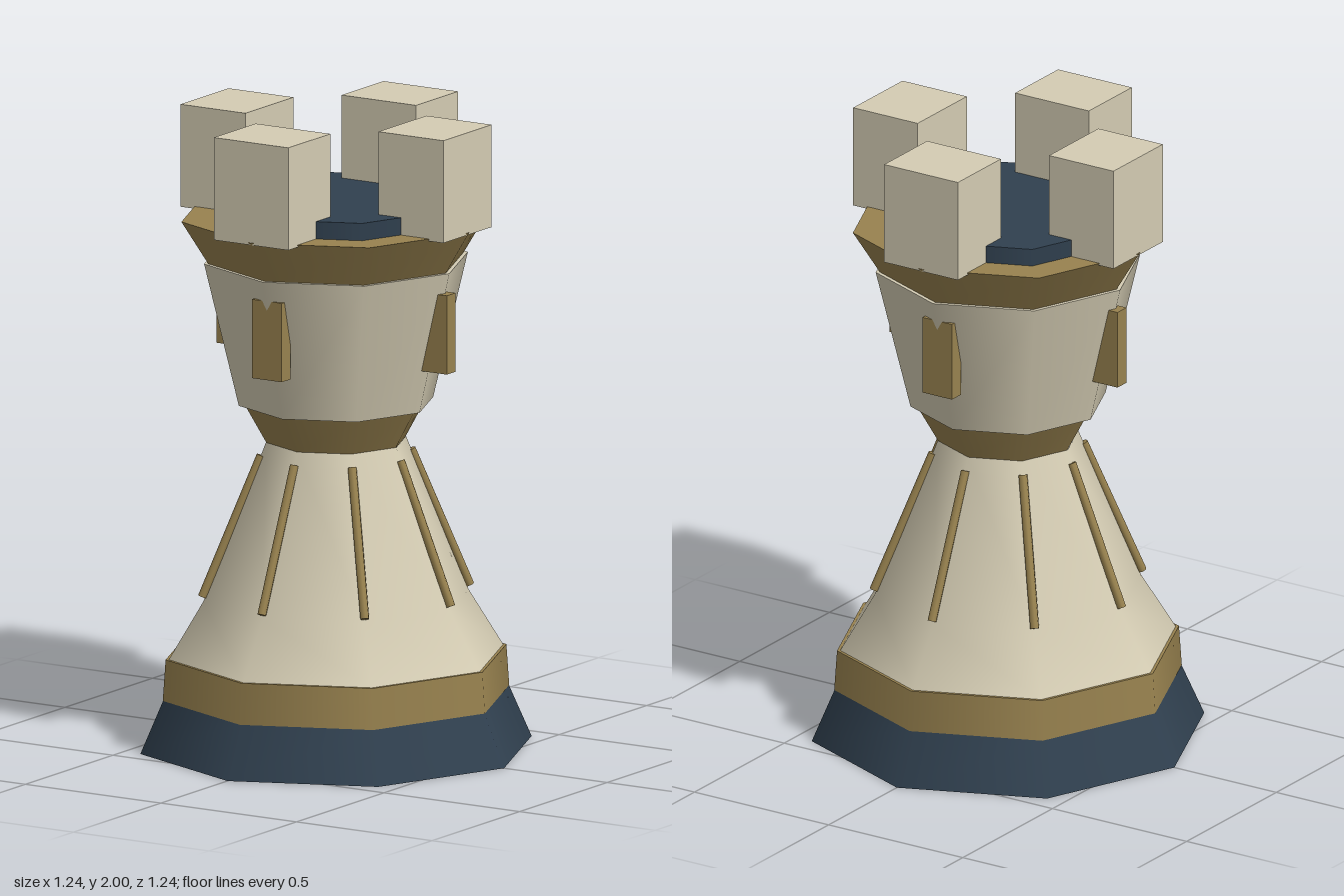
import * as THREE from 'three';

export function createModel() {
  const model = new THREE.Group();
  model.name = 'rookTower';
  const material = (name, color) => {
    const m = new THREE.MeshStandardMaterial({ color });
    m.name = name;
    return m;
  };
  const cream = material('cream', 0xd4ccb3);
  const gold = material('gold', 0x98824f);
  const navy = material('navy', 0x30404f);

  const add = (name, geometry, mat, parent = model) => {
    const mesh = new THREE.Mesh(geometry, mat);
    mesh.name = name;
    parent.add(mesh);
    return mesh;
  };

  // Eight-sided ring section with corners on the axes
  const section = (name, mat, y0, r0, y1, r1) => {
    add(name, new THREE.CylinderGeometry(r1, r0, y1 - y0, 8), mat).position.y = (y0 + y1) / 2;
  };
  section('base', navy, 0, 0.62, 0.165, 0.548);
  section('baseBand', gold, 0.165, 0.549, 0.295, 0.54);
  section('collar', gold, 0.968, 0.22, 1.09, 0.288);
  section('cup', cream, 1.09, 0.308, 1.545, 0.418);
  section('rim', gold, 1.545, 0.405, 1.682, 0.49);
  section('roof', navy, 1.682, 0.385, 1.737, 0.385);

  // Flared skirt
  const profile = [[0, 0.295], [0.53, 0.295], [0.53, 0.295], [0.42, 0.475], [0.222, 0.97]];
  add('skirt', new THREE.LatheGeometry(
    profile.slice(2).map(([r, y]) => new THREE.Vector2(r, y)), 8), cream);

  // Ribs along the corners of the skirt
  const top = new THREE.Vector3(0, 0.93, 0.238);
  const bottom = new THREE.Vector3(0, 0.49, 0.424);
  const along = top.clone().sub(bottom);
  for (let i = 0; i < 8; i++) {
    const holder = new THREE.Group();
    holder.name = 'ribHolder';
    holder.rotation.y = i * Math.PI / 4;
    model.add(holder);
    const rib = add('rib', new THREE.CylinderGeometry(0.014, 0.014, along.length(), 8), gold, holder);
    rib.position.copy(top).add(bottom).multiplyScalar(0.5);
    rib.quaternion.setFromUnitVectors(new THREE.Vector3(0, 1, 0), along.clone().normalize());
  }

  // Windows and battlements on the four sides
  for (let i = 0; i < 4; i++) {
    const angle = i * Math.PI / 2;
    const x = Math.sin(angle), z = Math.cos(angle);
    add('window', new THREE.BoxGeometry(0.11, 0.25, 0.05), gold).position.set(x * 0.37, 1.355, z * 0.37);
    const merlon = add('merlon', new THREE.BoxGeometry(0.275, 0.325, 0.24), cream);
    merlon.position.set(x * 0.365, 1.8375, z * 0.365);
    merlon.rotation.y = angle;
  }
  return model;
}
